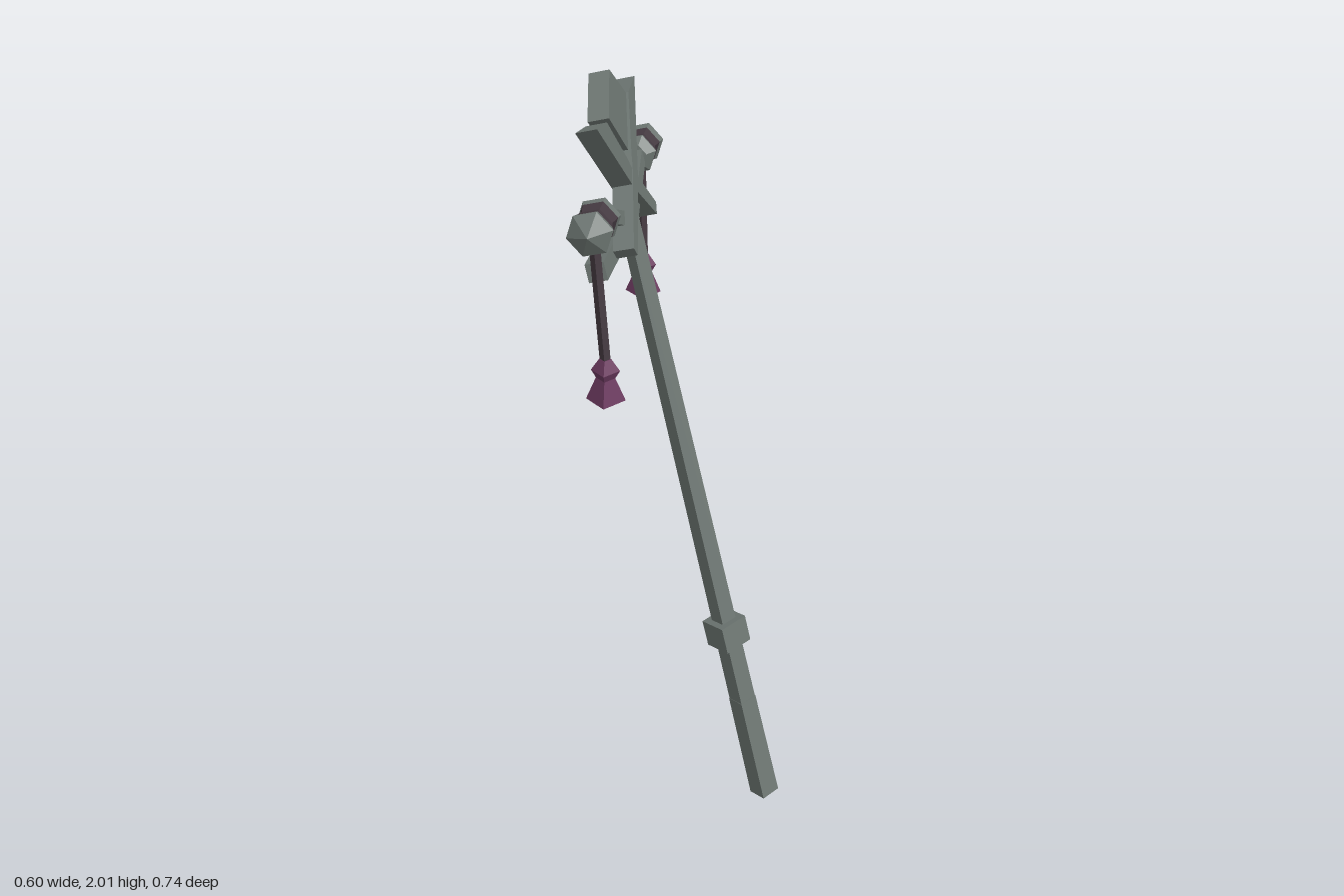
import * as THREE from 'three';

const mat = (name, color) => {
  const m = new THREE.MeshStandardMaterial({ color });
  m.name = name;
  return m;
};

// Flat facets for every geometry
const facet = (g) => {
  const f = g.index ? g.toNonIndexed() : g;
  f.computeVertexNormals();
  return f;
};

function add(parent, name, geometry, material, pos = [0, 0, 0]) {
  const m = new THREE.Mesh(facet(geometry), material);
  m.name = name;
  m.position.set(...pos);
  parent.add(m);
  return m;
}

// Turned solid from [radius, height] pairs, listed bottom to top
const turned = (pts, sides) =>
  new THREE.LatheGeometry(pts.map(([r, y]) => new THREE.Vector2(r, y)), sides);

// Square tapered shaft from y0 to y1 with half widths w0 and w1
const shaft = (y0, w0, y1, w1) =>
  turned([[0, y0], [w0 * Math.SQRT2, y0], [w1 * Math.SQRT2, y1], [0, y1]], 4).rotateY(Math.PI / 4);

// Flat plate from an outline, centred on z = 0
function plate(pts, depth) {
  const shape = new THREE.Shape(pts.map(([x, y]) => new THREE.Vector2(x, y)));
  return new THREE.ExtrudeGeometry(shape, { depth, bevelEnabled: false }).translate(0, 0, -depth / 2);
}

export function createModel() {
  const metal = mat('grey metal', 0x6d7672);
  const wrap = mat('dark wrap', 0x463b42);
  const tasselPurple = mat('tassel purple', 0x6c3a5f);

  const model = new THREE.Group();
  model.name = 'ceremonialStaff';

  const foot = new THREE.Vector3(0.165, 0.009, 0.335);
  const top = new THREE.Vector3(0.015, 1.65, -0.075);
  const up = top.clone().sub(foot);
  const length = up.length();
  up.normalize();

  // Leaning pole
  const pole = new THREE.Group();
  pole.name = 'pole';
  pole.position.copy(foot);
  pole.quaternion.setFromUnitVectors(new THREE.Vector3(0, 1, 0), up);
  model.add(pole);
  add(pole, 'poleFoot', shaft(0, 0.028, 0.32, 0.026), metal);
  add(pole, 'poleGrip', shaft(0.32, 0.025, 0.53, 0.024), metal);
  add(pole, 'poleShaft', shaft(0.53, 0.023, length + 0.01, 0.018), metal);
  add(pole, 'poleCollar', new THREE.BoxGeometry(0.082, 0.075, 0.082), metal, [0, 0.538, 0]);

  // Head frame: x across the head, y along the pole, z out of its face
  const across = new THREE.Vector3(0.744, -0.099, -0.661);
  across.addScaledVector(up, -across.dot(up)).normalize();
  const out = across.clone().cross(up);
  const head = new THREE.Group();
  head.name = 'head';
  head.position.copy(top);
  head.quaternion.setFromRotationMatrix(new THREE.Matrix4().makeBasis(across, up, out));
  model.add(head);

  // Crossbar behind the pole
  add(head, 'crossbar', new THREE.BoxGeometry(0.49, 0.045, 0.045), metal, [0, -0.03, -0.042]);

  // Central diamond of the crest
  add(head, 'crestDiamond',
    plate([[0, 0.172], [0.112, 0.278], [0.085, 0.3], [0, 0.362], [-0.085, 0.3], [-0.112, 0.278]], 0.05),
    metal, [0, 0, 0.012]);

  const blade = [[-0.238, 0.288], [-0.135, 0.275], [-0.022, 0.158], [0, 0.128],
    [0.17, -0.012], [0.15, -0.036], [-0.02, 0.085]];

  for (const s of [-1, 1]) {
    const side = s > 0 ? 'left' : 'right';

    // Crossing crest blades
    const outline = blade.map(([x, y]) => [-s * x, y]);
    add(head, side + 'CrestBlade', plate(outline, 0.05), metal, [0, 0, 0.012 + s * 0.001]);

    // Rising arms
    const dx = 0.235, dy = 0.088;
    const arm = add(head, side + 'Arm', new THREE.BoxGeometry(Math.hypot(dx, dy) + 0.01, 0.034, 0.034),
      metal, [s * dx / 2, 0.004 + dy / 2, 0]);
    arm.rotation.z = s * Math.atan2(dy, dx);

    // Wrapped end knobs
    const knob = new THREE.Group();
    knob.name = side + 'Knob';
    knob.position.set(s * 0.3, 0.094, -0.005);
    knob.rotation.z = -s * Math.PI / 2;
    head.add(knob);
    add(knob, 'knobInnerCap',
      turned([[0, -0.07], [0.03, -0.068], [0.052, -0.05], [0.048, -0.034], [0, -0.034]], 6), metal);
    add(knob, 'knobWrap', turned([[0.048, -0.034], [0.041, 0], [0.048, 0.034]], 6), wrap);
    add(knob, 'knobOuterCap',
      turned([[0, 0.034], [0.048, 0.034], [0.054, 0.056], [0, 0.087]], 6), metal);
  }

  // Hanging cords and tassels, given by cord top and tassel base
  const hangers = [
    ['right', [-0.225, 1.75, 0.1], [-0.213, 1.335, 0.12]],
    ['left', [0.225, 1.69, -0.292], [0.224, 1.32, -0.281]],
  ];
  for (const [side, a, b] of hangers) {
    const start = new THREE.Vector3(...b).add(new THREE.Vector3(0, 0.1, 0));
    const run = new THREE.Vector3(...a).sub(start);
    const cord = add(model, side + 'Cord', shaft(0, 0.009, run.length(), 0.009), wrap, start.toArray());
    cord.quaternion.setFromUnitVectors(new THREE.Vector3(0, 1, 0), run.normalize());
    const q = Math.SQRT2;
    add(model, side + 'Tassel',
      turned([[0, 0], [0.033 * q, 0], [0.016 * q, 0.058], [0.024 * q, 0.078], [0.01 * q, 0.108], [0, 0.108]], 4)
        .rotateY(Math.PI / 4), tasselPurple, b);
  }

  return model;
}
